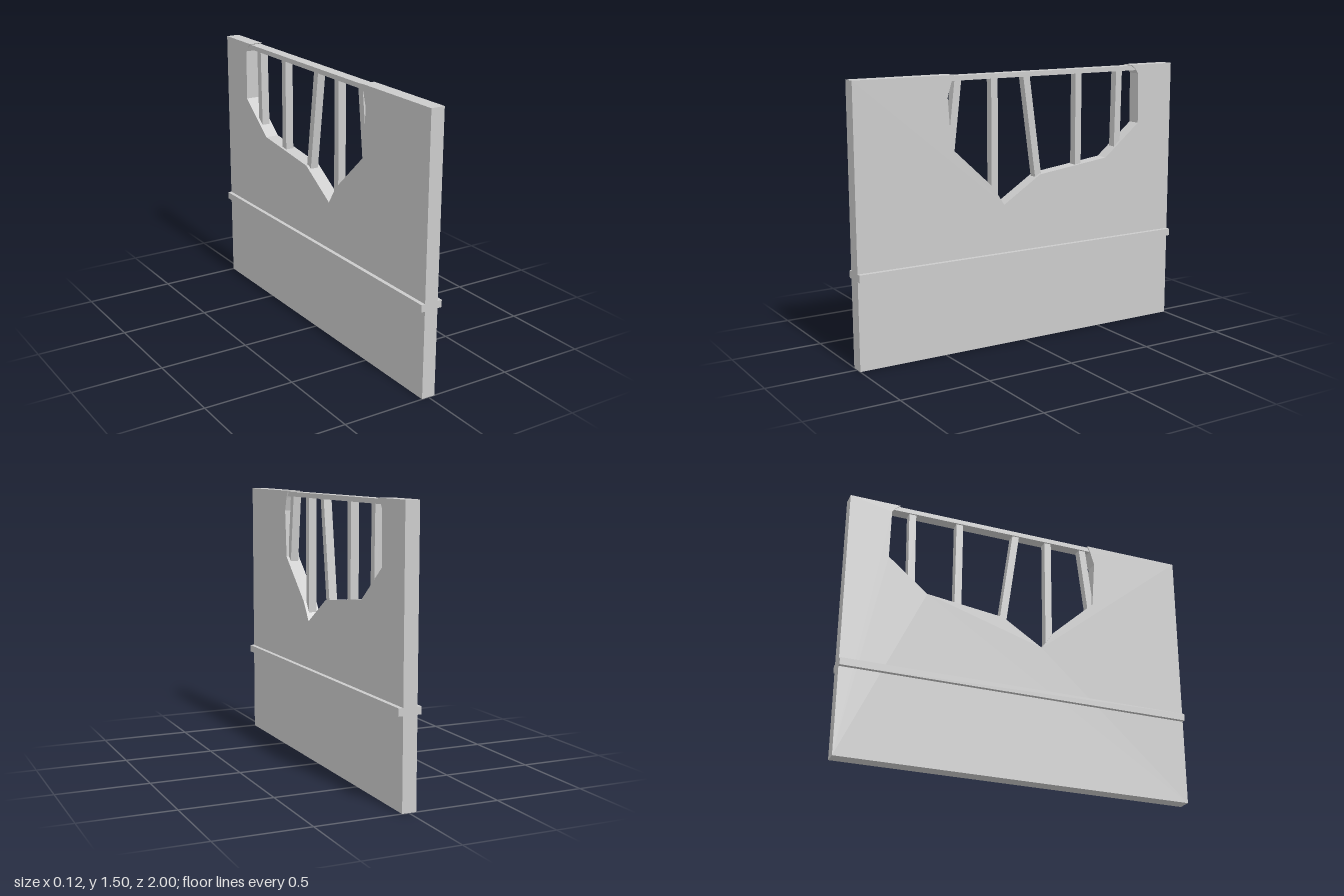
import * as THREE from 'three';

const material = new THREE.MeshStandardMaterial({ color: 0xcccccc, flatShading: true });

function addBox(group, name, size, position) {
  const mesh = new THREE.Mesh(new THREE.BoxGeometry(...size), material);
  mesh.name = name;
  mesh.position.set(...position);
  group.add(mesh);
  return mesh;
}

export function createModel() {
  const group = new THREE.Group();
  group.name = 'brokenWall';

  // Wall slab outline as [z, y], with the jagged breach cut into its top edge
  const outline = [
    [1, 0], [-1, 0], [-1, 1.5], [-0.715, 1.5],
    [-0.747, 1.475], [-0.763, 1.45], [-0.768, 1.167], [-0.543, 0.985],
    [-0.1, 0.93], [0.13, 0.785], [0.2, 0.89], [0.45, 1.12],
    [0.469, 1.385], [0.447, 1.46], [0.43, 1.5], [1, 1.5],
  ];
  const shape = new THREE.Shape(outline.map(([z, y]) => new THREE.Vector2(-z, y)));
  const wallGeometry = new THREE.ExtrudeGeometry(shape, { depth: 0.077, bevelEnabled: false });
  wallGeometry.rotateY(Math.PI / 2).translate(-0.04, 0, 0);
  const wall = new THREE.Mesh(wallGeometry, material);
  wall.name = 'wall';
  group.add(wall);

  // Trim strip along each face
  addBox(group, 'leftTrim', [0.025, 0.04, 2], [0.0495, 0.5, 0]);
  addBox(group, 'rightTrim', [0.022, 0.04, 2], [-0.051, 0.5, 0]);

  // Horizontal bar bridging the top of the breach
  addBox(group, 'topBar', [0.064, 0.026, 1.2], [-0.002, 1.482, -0.15]);

  // Exposed uprights: [top z, bottom z, bottom y], sunk a little into the wall
  const uprights = [
    [0.398, 0.45, 1.05],
    [0.179, 0.179, 0.83],
    [-0.02, -0.1, 0.9],
    [-0.362, -0.362, 0.93],
    [-0.64, -0.631, 1.0],
  ];
  const topY = 1.48;
  uprights.forEach(([zTop, zBottom, yBottom], i) => {
    const dz = zTop - zBottom, dy = topY - yBottom;
    const bar = addBox(group, `upright${i + 1}`, [0.046, Math.hypot(dz, dy), 0.04],
      [-0.002, (topY + yBottom) / 2, (zTop + zBottom) / 2]);
    bar.rotation.x = Math.atan2(dz, dy);
  });

  return group;
}
